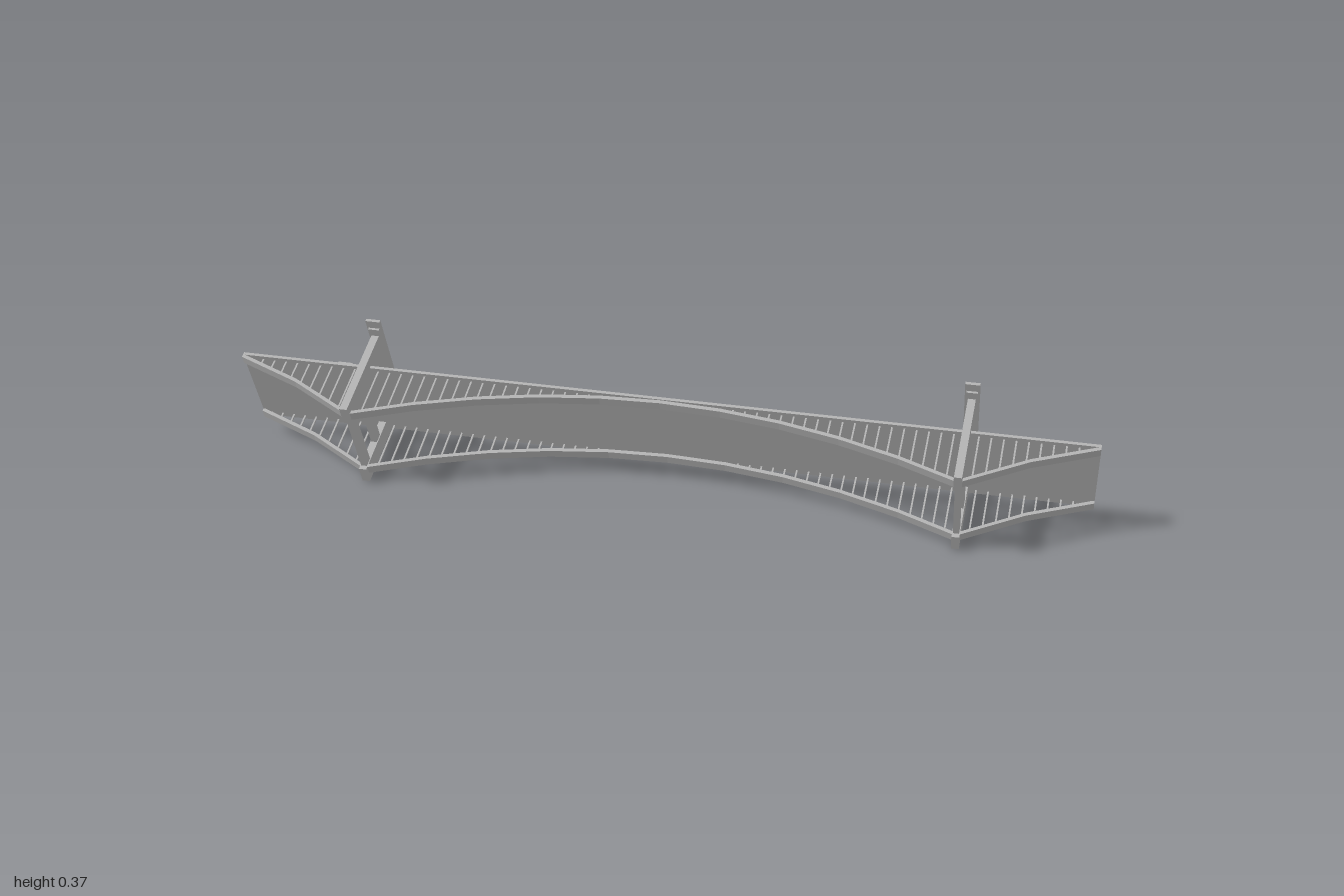
import * as THREE from 'three';
import { mergeGeometries } from 'three/addons/utils/BufferGeometryUtils.js';

// Suspension bridge lying on its side, in a slightly slanted frame:
// a = along the deck, s = across the deck, h = out along the towers.
const slant = new THREE.Matrix4().set(
  1, 0, 0, 0,
  0, 1, -0.17, 0.169,
  -0.0255, 0.39, 1, -0.021,
  0, 0, 0, 1);

const grey = new THREE.MeshStandardMaterial({ color: 0xb0b0b0 });
grey.name = 'grey';

const TOWER = 0.7, CABLE_TOP = 0.156;

// box given by its limits in a, s and h
function block(a0, a1, s0, s1, h0, h1) {
  return new THREE.BoxGeometry(a1 - a0, s1 - s0, h1 - h0)
    .translate((a0 + a1) / 2, (s0 + s1) / 2, (h0 + h1) / 2);
}

// height of the cable above the deck
function cableHeight(a) {
  const d = Math.abs(a);
  if (d <= TOWER) return 0.012 + (CABLE_TOP - 0.012) * (d / TOWER) ** 2;
  const t = (d - TOWER) / (1 - TOWER);
  return CABLE_TOP * (1 - t) + 0.008 * t - 0.05 * t * (1 - t);
}

// flat band following the cable line
function cableBand(s0, s1) {
  const stops = [-1, -0.85];
  for (let i = 0; i <= 10; i++) stops.push(-TOWER + i * TOWER / 5);
  stops.push(0.85, 1);
  const upper = stops.map(a => new THREE.Vector2(a, cableHeight(a)));
  const lower = upper.map(p => new THREE.Vector2(p.x, p.y - 0.01)).reverse();
  return new THREE.ExtrudeGeometry(new THREE.Shape([...lower.reverse(), ...upper.reverse()]),
    { depth: s1 - s0, bevelEnabled: false }).rotateX(Math.PI / 2).translate(0, s1, 0);
}

export function createModel() {
  const model = new THREE.Group();
  model.name = 'suspensionBridge';
  const add = (name, geometry, parent = model) => {
    const mesh = new THREE.Mesh(geometry.applyMatrix4(slant), grey);
    mesh.name = name;
    parent.add(mesh);
  };

  // roadway, with a thin seam plate on its underside
  add('deck', block(-1, 1, -0.116, 0.116, -0.008, 0));
  add('seamPlate', block(-0.77, -0.735, -0.116, 0.116, -0.011, -0.008));

  // towers: legs, cross beams and footing
  for (const a of [-TOWER, TOWER]) {
    const tower = new THREE.Group();
    tower.name = a < 0 ? 'rightTower' : 'leftTower';
    model.add(tower);
    add('lowerLeg', block(a - 0.009, a + 0.009, -0.14, -0.093, -0.094, 0.161), tower);
    add('upperLeg', block(a - 0.009, a + 0.009, 0.093, 0.14, -0.094, 0.161), tower);
    for (const h of [-0.079, 0.044, 0.124])
      add('crossBeam', block(a - 0.007, a + 0.007, -0.093, 0.093, h, h + 0.025), tower);
    add('footingStep', block(a - 0.013, a + 0.013, -0.162, 0.162, -0.094, -0.088), tower);
    add('footing', block(a - 0.017, a + 0.017, -0.1855, 0.1855, -0.102, -0.094), tower);
  }

  // cables and hangers along both edges
  for (const side of [-1, 1]) {
    const edge = side < 0 ? 'lower' : 'upper';
    const s = side * 0.1045;
    add(edge + 'Cable', cableBand(s - 0.0115, s + 0.0115));
    const hangers = [];
    for (let i = -35; i <= 35; i++) {
      const a = i * 0.028, top = cableHeight(a) - 0.005;
      if (top > 0.008) hangers.push(block(a - 0.002, a + 0.002, s - 0.002, s + 0.002, 0, top));
    }
    add(edge + 'Hangers', mergeGeometries(hangers));
  }
  return model;
}
